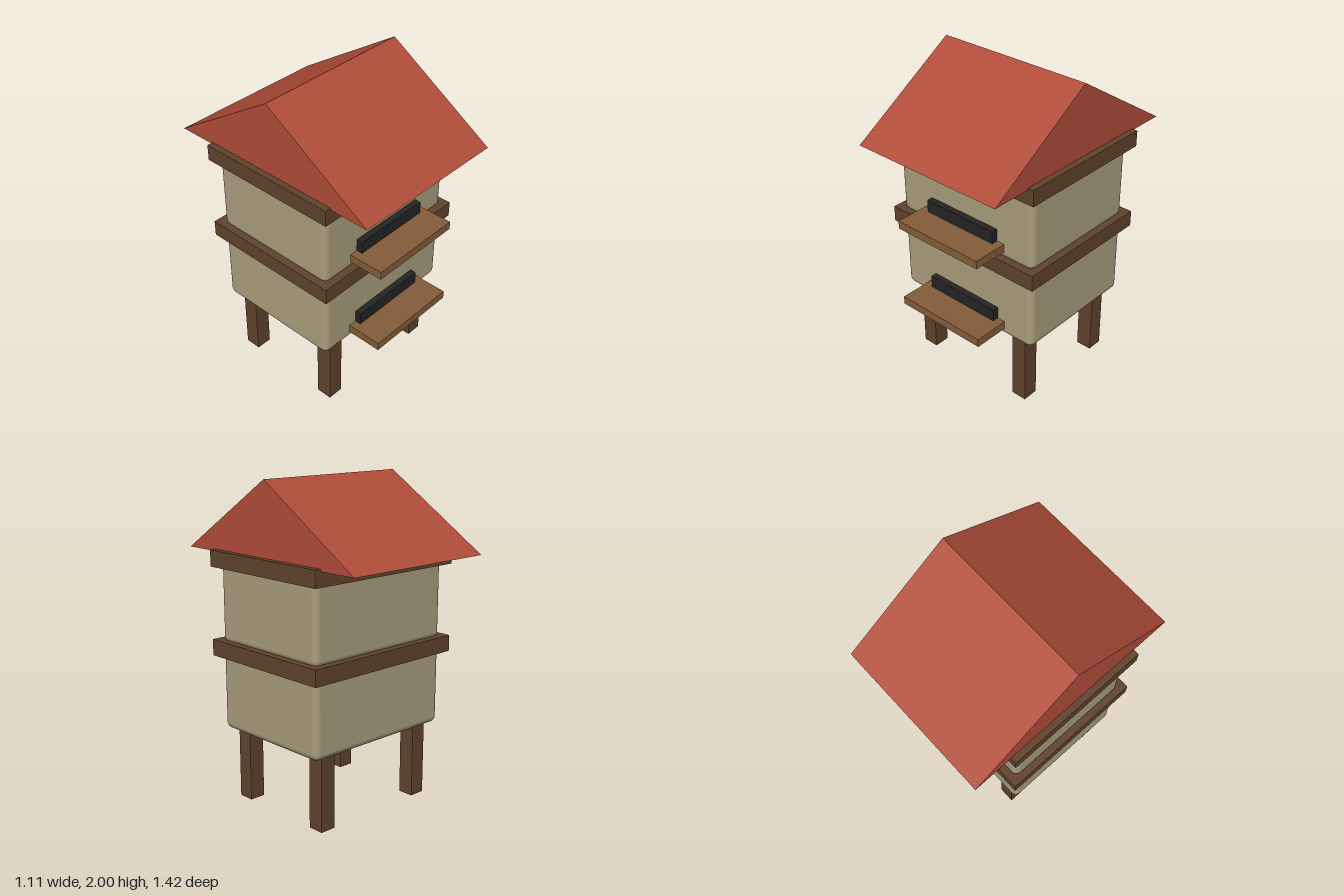
import * as THREE from 'three';
import { RoundedBoxGeometry } from 'three/addons/geometries/RoundedBoxGeometry.js';

const material = (name, color) => {
  const m = new THREE.MeshStandardMaterial({ color });
  m.name = name;
  return m;
};

export function createModel() {
  const model = new THREE.Group();
  model.name = 'beehive';

  const cream = material('cream paint', 0xa99d7c);
  const darkWood = material('dark wood', 0x60432d);
  const lightWood = material('light wood', 0x845c3a);
  const black = material('entrance black', 0x242424);
  const red = material('roof red', 0xb04c39);

  const add = (name, geometry, mat, x, y, z) => {
    const mesh = new THREE.Mesh(geometry, mat);
    mesh.name = name;
    mesh.position.set(x, y, z);
    model.add(mesh);
  };
  const box = (name, mat, w, h, d, x, y, z) =>
    add(name, new THREE.BoxGeometry(w, h, d), mat, x, y, z);

  // Two stacked hive boxes, each with a rim, an entrance and a landing board
  ['lower', 'upper'].forEach((level, i) => {
    const base = 0.46 + i * 0.543;
    add(level + 'Box', new RoundedBoxGeometry(1.03, 0.54, 0.83, 3, 0.04), cream, 0, base + 0.27, 0);
    box(level + 'Rim', darkWood, 1.11, 0.1, 0.915, 0, base + 0.51, 0);
    box(level + 'LandingBoard', lightWood, 0.62, 0.052, 0.26, 0, base + 0.074, 0.51);
    box(level + 'Entrance', black, 0.515, 0.08, 0.08, 0, base + 0.138, 0.415);
  });

  // Four square legs
  for (const [side, x] of [['left', 0.385], ['right', -0.385]]) {
    for (const [end, z] of [['Front', 0.322], ['Back', -0.322]]) {
      box(side + end + 'Leg', darkWood, 0.102, 0.48, 0.102, x, 0.24, z);
    }
  }

  // Gabled roof: a triangular prism with its ridge running side to side
  const gable = new THREE.Shape();
  gable.moveTo(-0.708, 1.55);
  gable.lineTo(0.708, 1.55);
  gable.lineTo(0, 2);
  gable.closePath();
  const roof = new THREE.ExtrudeGeometry(gable, { depth: 1.032, bevelEnabled: false });
  roof.translate(0, 0, -0.516).rotateY(Math.PI / 2);
  add('roof', roof, red, 0, 0, 0);

  return model;
}
